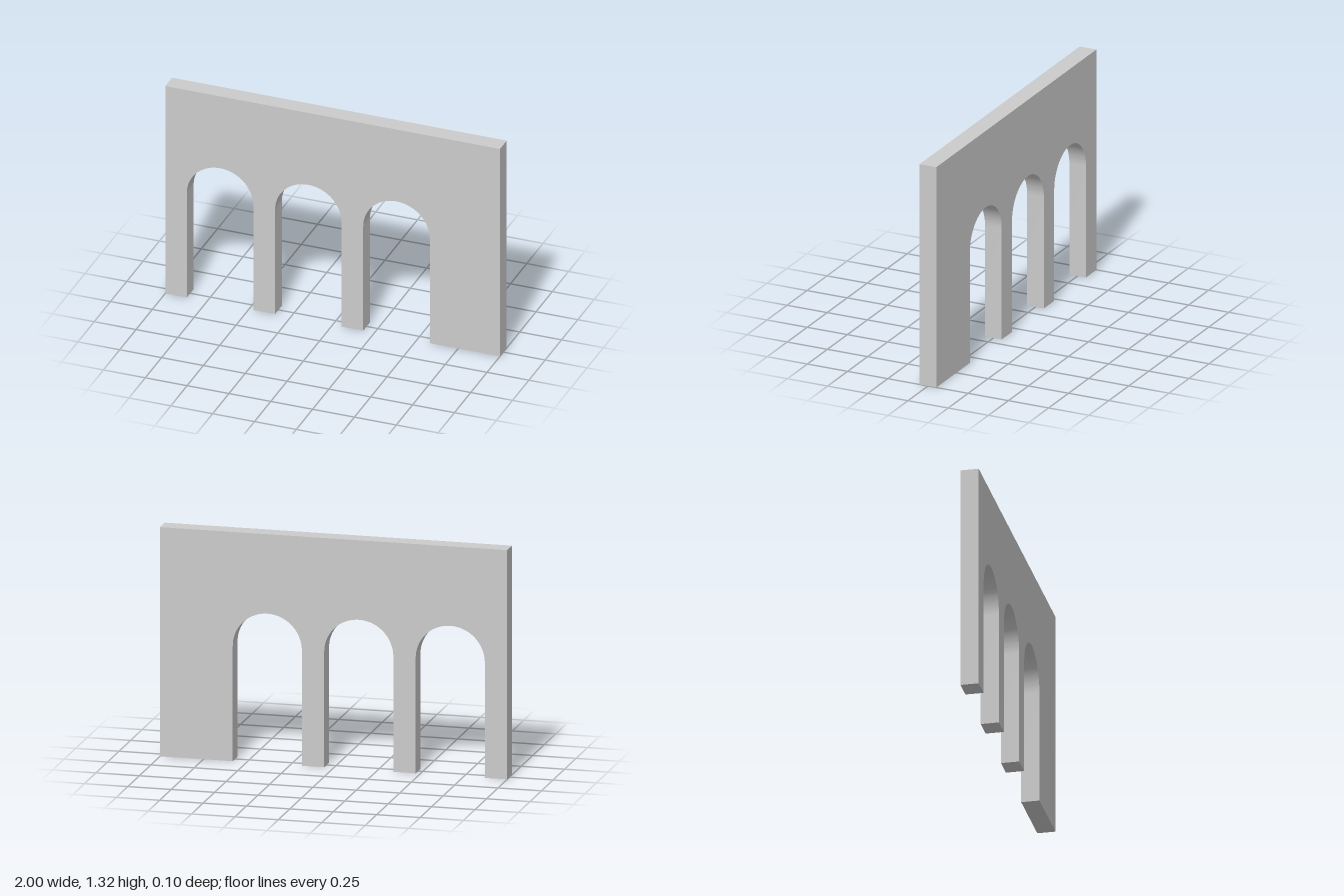
import * as THREE from 'three';
import { toCreasedNormals } from 'three/addons/utils/BufferGeometryUtils.js';

const HEIGHT = 1.318;
const DEPTH = 0.104;
const RADIUS = 0.199;
const SPRING = 0.662; // height where each arch starts to curve
const ARCH_CENTRES = [0.382, -0.145, -0.672];

export function createModel() {
  const group = new THREE.Group();
  group.name = 'arcade';

  // Wall outline, counter-clockwise, with the arches cut up from the ground
  const outline = new THREE.Shape();
  outline.moveTo(-1, 0);
  for (const x of [...ARCH_CENTRES].reverse()) {
    outline.lineTo(x - RADIUS, 0);
    outline.lineTo(x - RADIUS, SPRING);
    outline.absarc(x, SPRING, RADIUS, Math.PI, 0, true);
    outline.lineTo(x + RADIUS, 0);
  }
  outline.lineTo(1, 0);
  outline.lineTo(1, HEIGHT);
  outline.lineTo(-1, HEIGHT);
  outline.closePath();

  // Extrude to the wall thickness; smooth arch soffits, sharp corners
  const extruded = new THREE.ExtrudeGeometry(outline, {
    depth: DEPTH,
    bevelEnabled: false,
    curveSegments: 32,
  });
  extruded.translate(0, 0, -DEPTH / 2);

  const wall = new THREE.Mesh(
    toCreasedNormals(extruded, 0.5),
    new THREE.MeshStandardMaterial({ color: 0xcccccc })
  );
  wall.name = 'archedWall';
  group.add(wall);
  return group;
}
